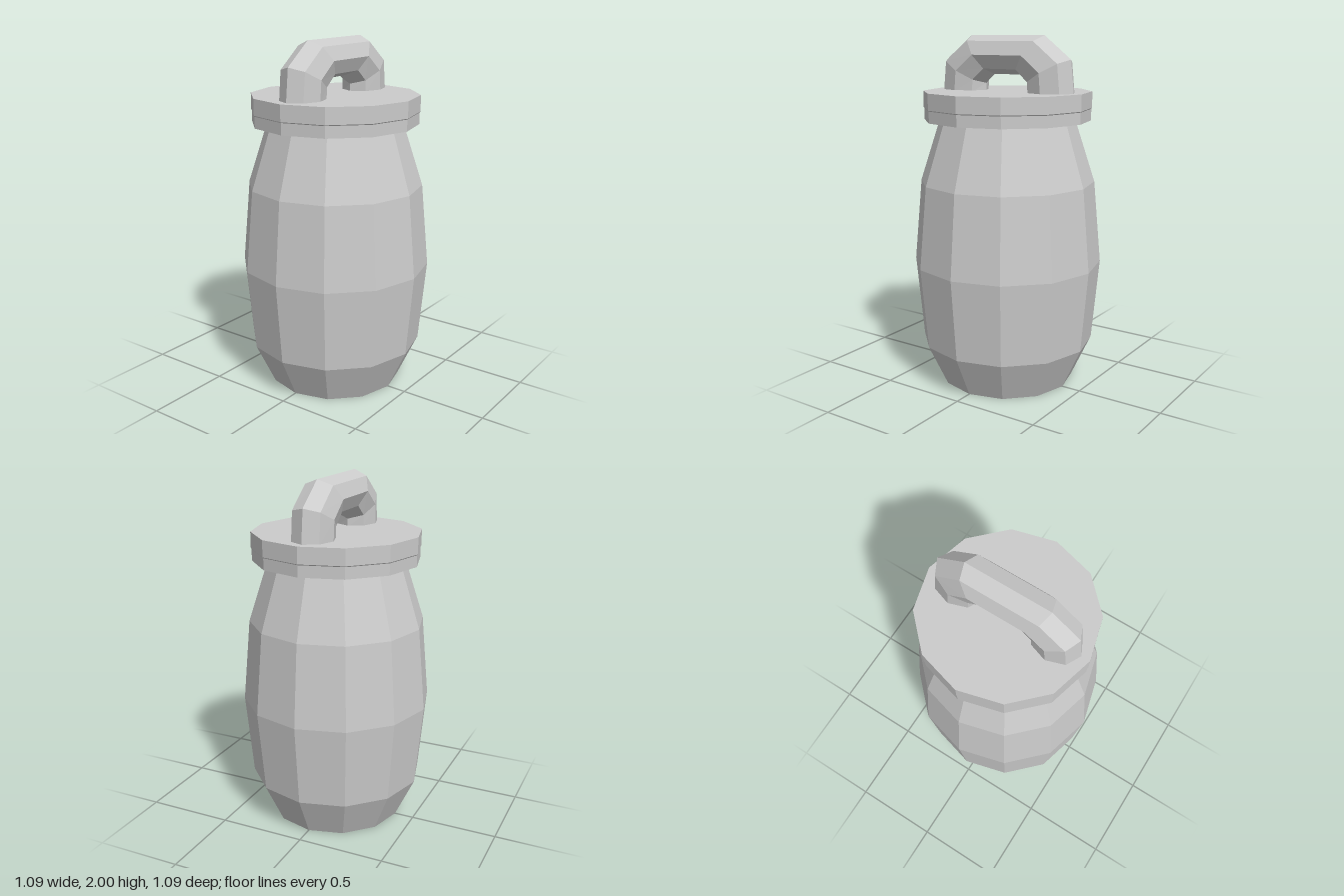
import * as THREE from 'three';

const SIDES = 12;

const material = new THREE.MeshStandardMaterial({ color: 0xcccccc, flatShading: true });

// Faceted solid of revolution from [radius, height] pairs, bottom to top
function turned(name, profile) {
  const points = profile.map(([r, y]) => new THREE.Vector2(r, y));
  const mesh = new THREE.Mesh(new THREE.LatheGeometry(points, SIDES), material);
  mesh.name = name;
  return mesh;
}

// Arched handle: octagonal rings lofted between outer and inner arch corners
function handleGeometry() {
  const halfDepth = 0.115;
  const ringSides = 8;
  // [outer x, outer y, inner x, inner y] on the +x side, foot to crown
  const half = [
    [0.43, 1.685, 0.145, 1.685],
    [0.41, 1.873, 0.145, 1.732],
    [0.243, 2.0, 0.085, 1.785],
  ];
  const mirrored = half.map(([ox, oy, ix, iy]) => [-ox, oy, -ix, iy]);
  const sections = [...mirrored, ...half.reverse()];

  const positions = [];
  const indices = [];
  sections.forEach(([ox, oy, ix, iy], i) => {
    for (let j = 0; j < ringSides; j++) {
      const a = (j / ringSides) * Math.PI * 2;
      const t = (1 - Math.cos(a)) / 2;
      positions.push(ox + (ix - ox) * t, oy + (iy - oy) * t, Math.sin(a) * halfDepth);
      if (i === sections.length - 1) continue;
      const k = (j + 1) % ringSides;
      const p = i * ringSides;
      const q = p + ringSides;
      indices.push(p + j, p + k, q + k, p + j, q + k, q + j);
    }
  });

  const geometry = new THREE.BufferGeometry();
  geometry.setAttribute('position', new THREE.Float32BufferAttribute(positions, 3));
  geometry.setIndex(indices);
  geometry.computeVertexNormals();
  return geometry;
}

export function createModel() {
  const group = new THREE.Group();
  group.name = 'liddedJar';

  // Barrel-shaped body with a flat base
  group.add(turned('body', [
    [0, 0], [0.387, 0], [0.5, 0.24], [0.543, 0.71], [0.5, 1.18], [0.385, 1.535],
  ]));

  // Overhanging lid with a faint seam around its rim
  group.add(turned('lid', [
    [0, 1.53], [0.474, 1.53], [0.474, 1.595], [0.478, 1.6], [0.478, 1.692], [0, 1.692],
  ]));

  const handle = new THREE.Mesh(handleGeometry(), material);
  handle.name = 'handle';
  group.add(handle);

  return group;
}
